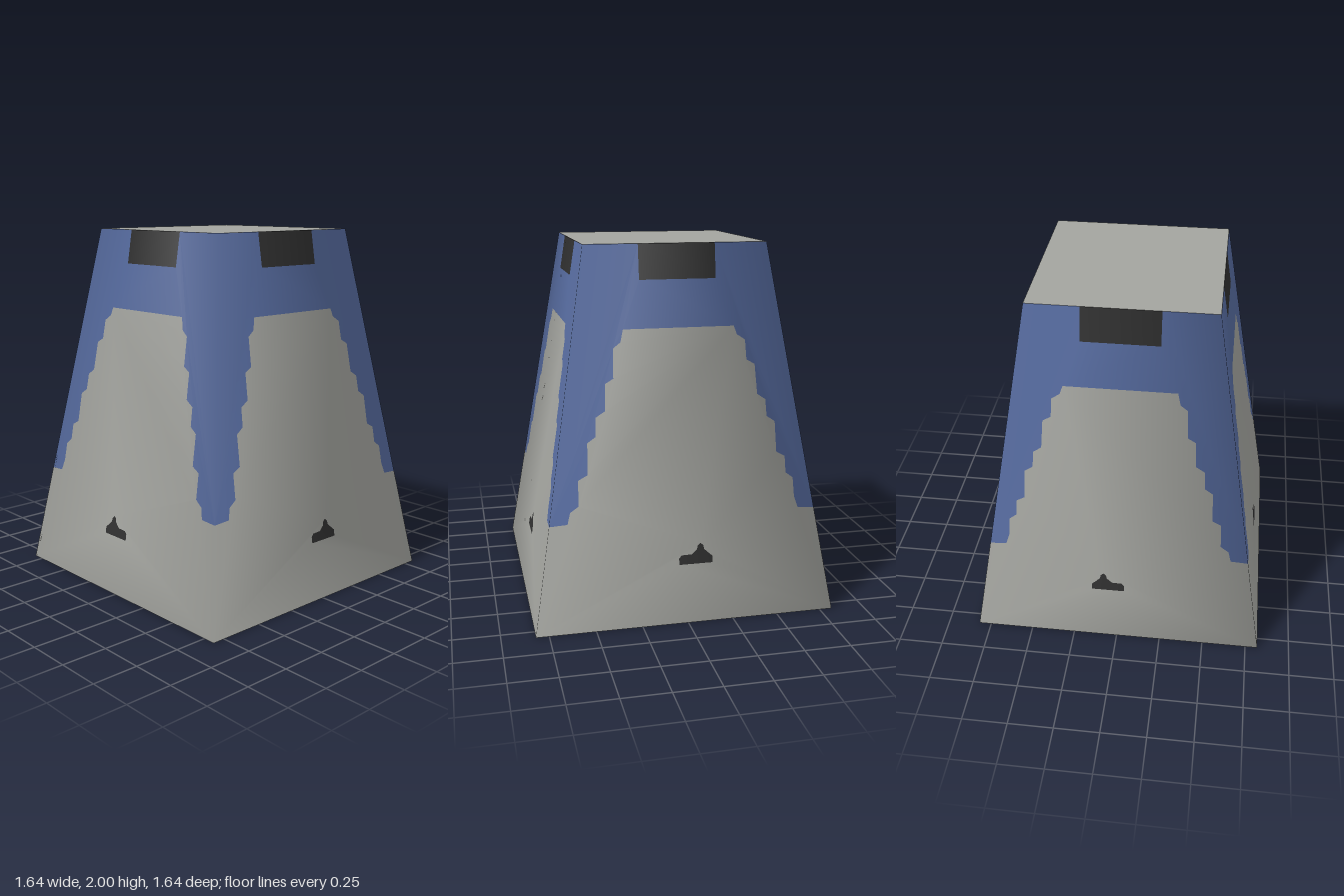
import * as THREE from 'three';

const H = 2, BASE = 0.82, TOP = 0.495;
const SLOPE = (BASE - TOP) / H;
const half = (y) => BASE - SLOPE * y; // half-width of the tower at height y

// Stepped lower border of the blue cap, left corner to right corner
const border = [
  [-half(0.57), 0.57], [-0.635, 0.575], [-0.615, 0.64], [-0.61, 0.74], [-0.57, 0.77], [-0.567, 0.86],
  [-0.52, 0.885], [-0.515, 1.05], [-0.47, 1.08], [-0.465, 1.17], [-0.42, 1.2], [-0.41, 1.36],
  [-0.365, 1.385], [-0.36, 1.49], [-0.315, 1.52], [-0.3, 1.565],
  [0.3, 1.565], [0.315, 1.5], [0.355, 1.47], [0.36, 1.315], [0.405, 1.29], [0.41, 1.15],
  [0.46, 1.12], [0.465, 1.02], [0.51, 0.99], [0.515, 0.825], [0.565, 0.8], [0.57, 0.665],
  [0.615, 0.635], [0.63, 0.575], [half(0.57), 0.57],
];

// Small dark fitting low on each wall
const fitting = [
  [-0.145, 0.315], [0.04, 0.315], [0.04, 0.35], [0.025, 0.365], [-0.03, 0.367], [-0.06, 0.392],
  [-0.065, 0.412], [-0.08, 0.425], [-0.095, 0.412], [-0.1, 0.39], [-0.125, 0.367], [-0.145, 0.35],
];

const windowPane = [[-0.208, 1.815], [0.205, 1.815], [0.205, H], [-0.208, H]];
const skirt = [[-BASE, 0], [BASE, 0], ...[...border].reverse()];
const cap = [
  ...border, [TOP, H], [0.205, H], [0.205, 1.815], [-0.208, 1.815], [-0.208, H], [-TOP, H],
];

const toPoints = (list) => list.map(([x, y]) => new THREE.Vector2(x, y));

// Lay a flat outline on one sloping wall, with normals that blend round the corners
function wallPiece(outline, hole, axis, sign) {
  const shape = new THREE.Shape(toPoints(outline));
  if (hole) shape.holes.push(new THREE.Path(toPoints(hole)));
  const geo = new THREE.ShapeGeometry(shape);
  const pos = geo.attributes.position, nor = geo.attributes.normal;
  const n = new THREE.Vector3();
  for (let i = 0; i < pos.count; i++) {
    const u = pos.getX(i), y = pos.getY(i), h = half(y);
    if (axis === 'z') {
      pos.setXYZ(i, u, y, sign * h);
      n.set(u / h, SLOPE, sign);
    } else {
      pos.setXYZ(i, sign * h, y, u);
      n.set(sign, SLOPE, u / h);
    }
    n.normalize();
    nor.setXYZ(i, n.x, n.y, n.z);
  }
  // Turn the triangles outward where the mapping mirrors them
  if ((axis === 'z') !== (sign > 0)) {
    const idx = geo.index;
    for (let i = 0; i < idx.count; i += 3) {
      const b = idx.getX(i + 1);
      idx.setX(i + 1, idx.getX(i + 2));
      idx.setX(i + 2, b);
    }
  }
  return geo;
}

export function createModel() {
  const material = (name, color) => {
    const m = new THREE.MeshStandardMaterial({ color, side: THREE.DoubleSide });
    m.name = name;
    return m;
  };
  const grey = material('grey', 0xa3a49f);
  const blue = material('blue', 0x566b9f);
  const dark = material('dark', 0x303030);

  const model = new THREE.Group();
  model.name = 'taperedTower';

  const add = (parent, name, geo, mat) => {
    const mesh = new THREE.Mesh(geo, mat);
    mesh.name = name;
    parent.add(mesh);
    return mesh;
  };

  // Four walls, open underneath
  const walls = [['frontWall', 'z', 1], ['backWall', 'z', -1], ['leftWall', 'x', 1], ['rightWall', 'x', -1]];
  for (const [name, axis, sign] of walls) {
    const wall = new THREE.Group();
    wall.name = name;
    add(wall, 'skirt', wallPiece(skirt, fitting, axis, sign), grey);
    add(wall, 'cap', wallPiece(cap, null, axis, sign), blue);
    add(wall, 'window', wallPiece(windowPane, null, axis, sign), dark);
    add(wall, 'fitting', wallPiece(fitting, null, axis, sign), dark);
    model.add(wall);
  }

  // Flat roof
  const roof = add(model, 'roof', new THREE.PlaneGeometry(TOP * 2, TOP * 2), grey);
  roof.rotation.x = -Math.PI / 2;
  roof.position.y = H;

  return model;
}
